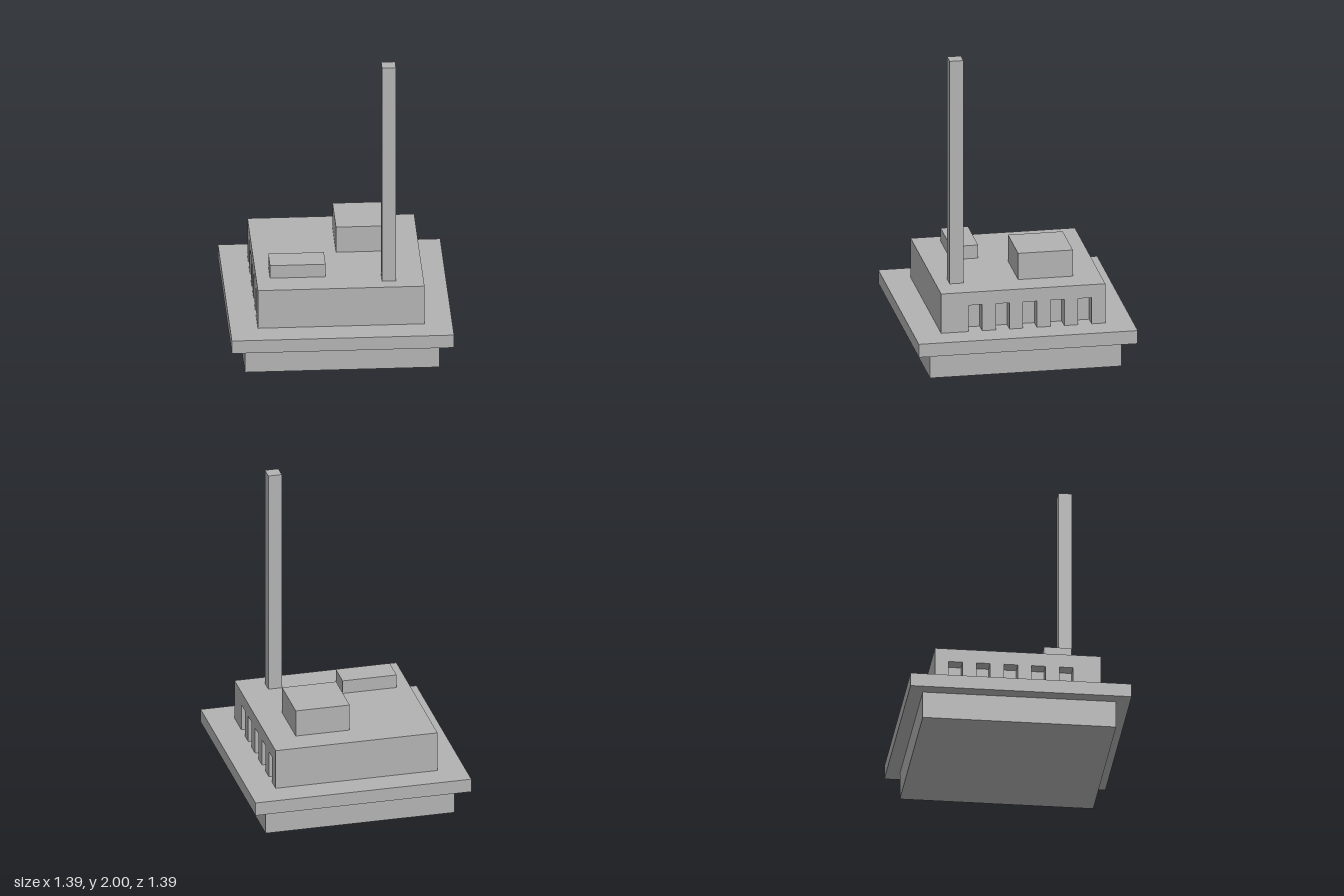
import * as THREE from 'three';

const U = 2 / 23; // modular unit: every part sits on this grid

export function createModel() {
  const group = new THREE.Group();
  const concrete = new THREE.MeshStandardMaterial({ color: 0xb2b2b2 });
  concrete.name = 'concrete grey';

  const add = (name, geometry) => {
    const mesh = new THREE.Mesh(geometry, concrete);
    mesh.name = name;
    group.add(mesh);
    return mesh;
  };

  // Box given by its extents in modular units
  const block = (name, [x0, x1], [y0, y1], [z0, z1]) => {
    const mesh = add(name, new THREE.BoxGeometry((x1 - x0) * U, (y1 - y0) * U, (z1 - z0) * U));
    mesh.position.set((x0 + x1) / 2 * U, (y0 + y1) / 2 * U, (z0 + z1) / 2 * U);
  };

  // Stepped base and main hall
  block('foundation', [-7, 7], [0, 2], [-7, 7]);
  block('terraceSlab', [-8, 8], [2, 3], [-8, 8]);
  block('hallCore', [-5, 5], [3, 6], [-6, 6]);

  // Side walls with five doorway recesses, open at the floor
  const wall = new THREE.Shape();
  wall.moveTo(-6 * U, 3 * U);
  for (let z = -5; z <= 3; z += 2) {
    wall.lineTo(z * U, 3 * U);
    wall.lineTo(z * U, 5 * U);
    wall.lineTo((z + 1) * U, 5 * U);
    wall.lineTo((z + 1) * U, 3 * U);
  }
  wall.lineTo(6 * U, 3 * U);
  wall.lineTo(6 * U, 6 * U);
  wall.lineTo(-6 * U, 6 * U);
  wall.closePath();
  const wallGeometry = new THREE.ExtrudeGeometry(wall, { depth: U, bevelEnabled: false });
  wallGeometry.rotateY(-Math.PI / 2);
  add('leftDoorwayWall', wallGeometry).position.x = 6 * U;
  add('rightDoorwayWall', wallGeometry).position.x = -5 * U;

  // Roof structures
  block('tallRoofBlock', [0, 4], [6, 8], [-4, 0]);
  block('lowRoofBlock', [-5, -1], [6, 7], [2, 4]);
  block('chimney', [3, 4], [6, 23], [4, 5]);

  return group;
}
